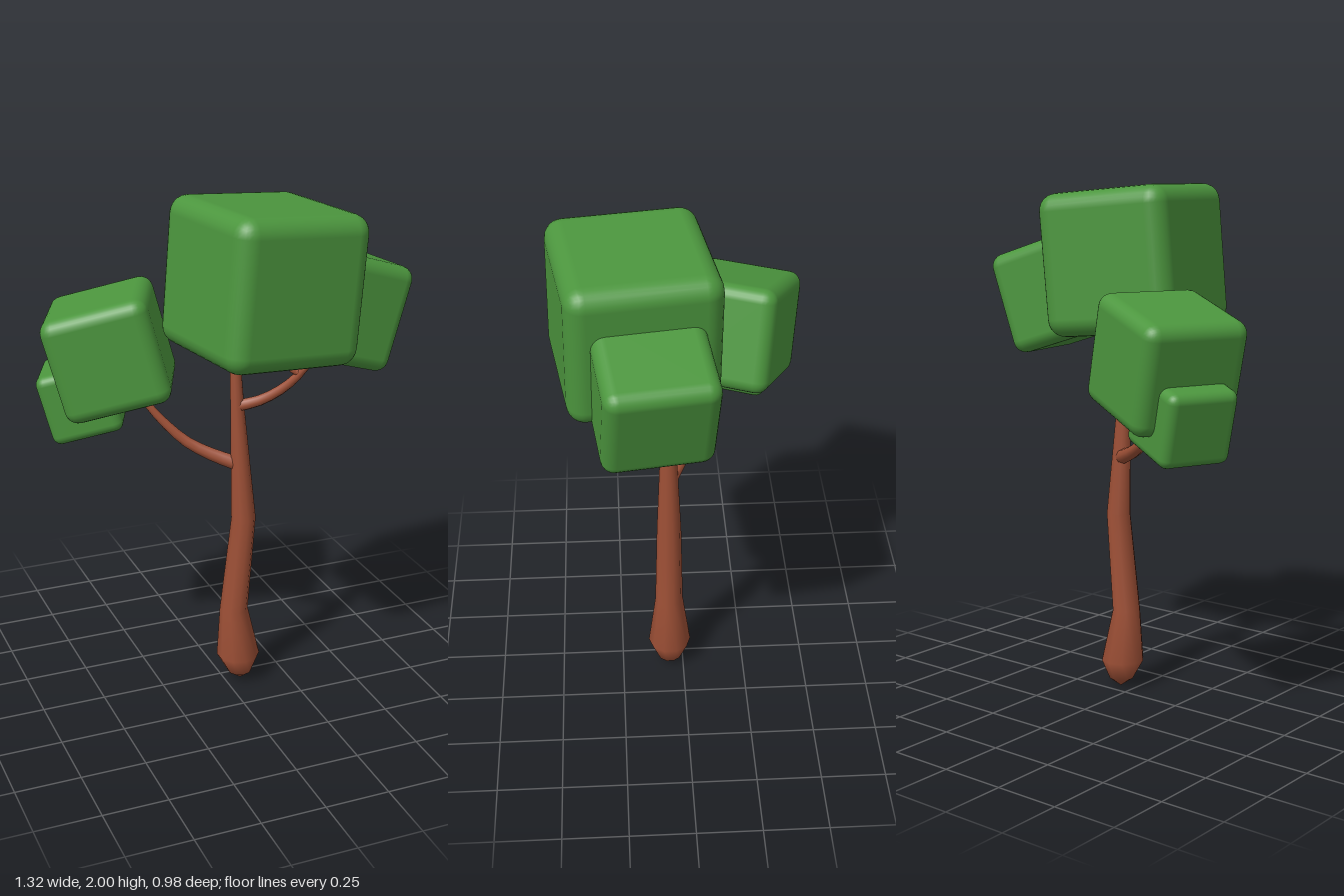
import * as THREE from 'three';
import { RoundedBoxGeometry } from 'three/addons/geometries/RoundedBoxGeometry.js';

const leaf = new THREE.MeshStandardMaterial({ color: 0x4c963e });
leaf.name = 'leaf green';
const bark = new THREE.MeshStandardMaterial({ color: 0x9e5036 });
bark.name = 'bark brown';

// Trunk: lathed profile whose rings are shifted sideways. Rows: [y, radius, centre x]
function trunkGeometry() {
  const rings = [
    [0.005, 0, 0.065], [0.04, 0.048, 0.062], [0.12, 0.086, 0.055], [0.33, 0.056, 0.036],
    [0.72, 0.048, 0.076], [1.2, 0.026, 0.047], [1.45, 0.019, 0.034], [1.53, 0, 0.032],
  ];
  const geo = new THREE.LatheGeometry(rings.map(([y, r]) => new THREE.Vector2(r, y)), 10);
  const pos = geo.attributes.position;
  for (let i = 0; i < pos.count; i++) {
    pos.setX(i, pos.getX(i) + rings[i % rings.length][2]);
    pos.setZ(i, pos.getZ(i) + 0.055);
  }
  return geo;
}

// Branch: tube along a curve, narrowing from radius r0 to r1
function branchGeometry(points, r0, r1) {
  const curve = new THREE.CatmullRomCurve3(points.map(p => new THREE.Vector3(...p)));
  const steps = 10, sides = 8;
  const geo = new THREE.TubeGeometry(curve, steps, 1, sides);
  const pos = geo.attributes.position;
  const v = new THREE.Vector3();
  for (let i = 0; i < pos.count; i++) {
    const t = Math.floor(i / (sides + 1)) / steps;
    const c = curve.getPointAt(t);
    v.fromBufferAttribute(pos, i).sub(c).multiplyScalar(r0 + (r1 - r0) * t).add(c);
    pos.setXYZ(i, v.x, v.y, v.z);
  }
  return geo;
}

export function createModel() {
  const tree = new THREE.Group();
  tree.name = 'tree';
  const add = (name, geo, mat) => {
    const mesh = new THREE.Mesh(geo, mat);
    mesh.name = name;
    tree.add(mesh);
    return mesh;
  };

  add('trunk', trunkGeometry(), bark);
  add('rightBranch', branchGeometry([
    [0.05, 0.95, 0.045], [-0.03, 0.98, 0.0], [-0.12, 1.03, -0.05],
    [-0.2, 1.11, -0.095], [-0.26, 1.19, -0.13], [-0.3, 1.26, -0.16]], 0.03, 0.011), bark);
  add('leftBranch', branchGeometry([
    [0.045, 1.19, 0.055], [0.12, 1.215, 0.095], [0.19, 1.265, 0.14],
    [0.25, 1.335, 0.18], [0.3, 1.42, 0.2], [0.32, 1.48, 0.21]], 0.024, 0.011), bark);
  add('twig', branchGeometry([
    [0.25, 1.335, 0.18], [0.225, 1.345, 0.17], [0.21, 1.39, 0.165], [0.2, 1.47, 0.16]],
  0.013, 0.008), bark);

  // Foliage cubes: name, size, centre, turn about y, tilt about z (degrees)
  const cubes = [
    ['topFoliage', 0.555, [0.095, 1.71, 0.18], 9, -5],
    ['leftFoliage', 0.405, [0.4, 1.58, 0.125], 9, -18],
    ['rightFoliage', 0.415, [-0.365, 1.383, -0.225], -23, 15],
    ['lowerRightFoliage', 0.28, [-0.467, 1.2, -0.265], -23, 15],
  ];
  for (const [name, s, centre, turn, tilt] of cubes) {
    const cube = add(name, new RoundedBoxGeometry(s, s, s, 3, s * 0.125), leaf);
    cube.position.set(...centre);
    cube.rotation.set(0, THREE.MathUtils.degToRad(turn), THREE.MathUtils.degToRad(tilt));
  }
  return tree;
}
